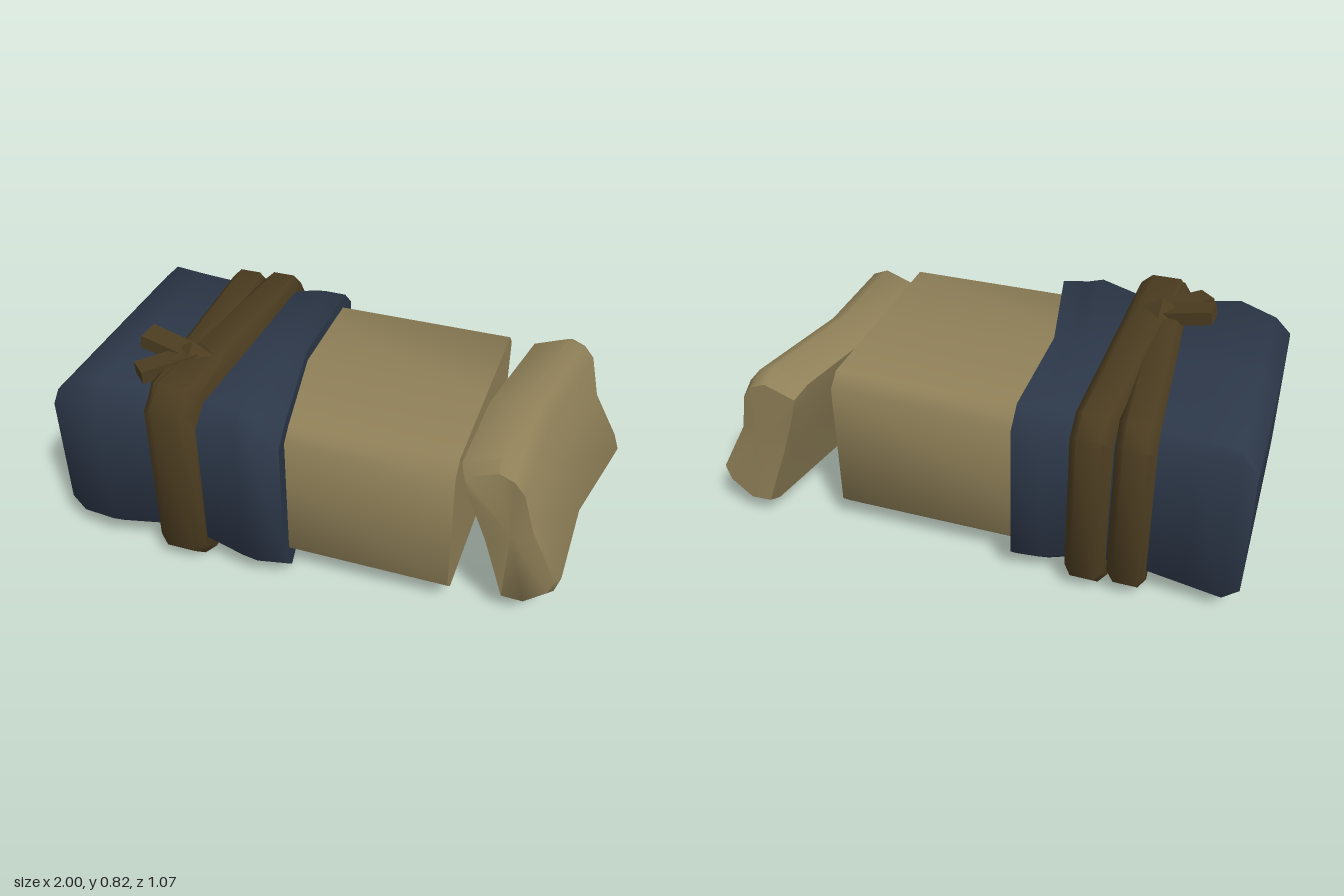
import * as THREE from 'three';
import { toCreasedNormals } from 'three/addons/utils/BufferGeometryUtils.js';

const material = (name, color) => {
  const m = new THREE.MeshStandardMaterial({ color });
  m.name = name;
  return m;
};

// Skin a list of rings (counter-clockwise around the direction of travel) and cap both ends
function loft(rings) {
  const n = rings[0].length;
  const pos = rings.flat(2);
  const idx = [];
  for (let i = 0; i < rings.length - 1; i++) {
    for (let j = 0; j < n; j++) {
      const k = (j + 1) % n;
      const a = i * n + j, b = i * n + k, c = b + n, d = a + n;
      idx.push(a, b, c, a, c, d);
    }
  }
  [0, rings.length - 1].forEach((r) => {
    const centre = pos.length / 3;
    for (let k = 0; k < 3; k++) pos.push(rings[r].reduce((s, p) => s + p[k], 0) / n);
    for (let j = 0; j < n; j++) {
      const a = r * n + j, b = r * n + (j + 1) % n;
      if (r) idx.push(centre, a, b); else idx.push(centre, b, a);
    }
  });
  const g = new THREE.BufferGeometry();
  g.setAttribute('position', new THREE.Float32BufferAttribute(pos, 3));
  g.setIndex(idx);
  return toCreasedNormals(g, 0.95);
}

// Chamfered rectangle in the z-y plane; xAt(z) gives the x of each corner
function section(xAt, y0, yBack, yFront, zb, zf, cb, cf) {
  return [
    [zf - cf, y0], [0, y0], [zb + cb, y0], [zb, y0 + cb],
    [zb, yBack - cb], [zb + cb, yBack], [0, (yBack + yFront) / 2], [zf - cf, yFront],
    [zf, yFront - cf], [zf, y0 + cf],
  ].map(([z, y]) => [xAt(z), y, z]);
}

export function createModel() {
  const group = new THREE.Group();
  const crust = material('crust', 0x8f8058);
  const clothBlue = material('clothBlue', 0x2c3748);
  const strapBrown = material('strapBrown', 0x4b3c20);

  const add = (name, geometry, mat) => {
    const mesh = new THREE.Mesh(geometry, mat);
    mesh.name = name;
    group.add(mesh);
    return mesh;
  };

  // Loaf: straight chamfered block
  add('loaf', loft([-0.5, 0.52].map((x) =>
    section(() => x, 0.07, 0.675, 0.675, -0.455, 0.44, 0.05, 0.05))), crust);

  // Leaning end slice: bent profile carried along z, its back end drifting outward
  const profile = [
    [0.71, 0.055], [0.80, 0.052], [0.89, 0.13], [0.91, 0.2], [0.80, 0.42],
    [0.755, 0.6], [0.71, 0.655], [0.65, 0.68], [0.52, 0.63], [0.535, 0.56], [0.62, 0.32],
  ];
  const sliceRings = [[-0.525, 0.88], [-0.46, 1], [-0.03, 0.98], [0.35, 1], [0.392, 0.9]].map(([z, s]) =>
    profile.map(([x, y]) => {
      const drift = 0.09 * THREE.MathUtils.clamp(-z / 0.46, 0, 1);
      const waist = y > 0.3 && y < 0.45 ? 0.96 : 1;
      return [0.71 + (x - 0.71) * s + drift, 0.365 + (y - 0.365) * s, z * waist];
    }));
  add('slice', loft(sliceRings), crust);

  // Cloth wrap: x, bottom, back top, front top, back z, front z, back chamfer, front chamfer, lean
  const cloth = [
    [-1.00, 0.11, 0.64, 0.64, -0.475, 0.47, 0.01, 0.04, 0],
    [-0.94, 0.05, 0.70, 0.70, -0.475, 0.49, 0.02, 0.06, 0],
    [-0.80, 0.055, 0.70, 0.74, -0.475, 0.515, 0.04, 0.07, 0],
    [-0.60, 0.07, 0.70, 0.72, -0.475, 0.485, 0.06, 0.07, 0],
    [-0.40, 0.055, 0.70, 0.71, -0.485, 0.495, 0.07, 0.07, 0],
    [-0.25, 0.035, 0.715, 0.738, -0.505, 0.52, 0.07, 0.07, 0.05],
    [-0.19, 0.035, 0.715, 0.715, -0.512, 0.53, 0.07, 0.07, 0.07],
    [-0.09, 0.03, 0.712, 0.712, -0.515, 0.505, 0.07, 0.07, 0.087],
  ];
  add('clothWrap', loft(cloth.map(([x, y0, yb, yf, zb, zf, cb, cf, lean]) => section(
    (z) => x - lean * THREE.MathUtils.clamp((0.43 - z) / 0.43, 0, 1), y0, yb, yf, zb, zf, cb, cf))), clothBlue);

  // Two straps round the bundle, spread at the back and meeting at the front
  const strap = (name, backX, frontX, backW, frontW, drop) => {
    const rings = [[-1, 0.025], [-0.6, 0], [0.6, 0], [1, 0.025]].map(([t, inset]) => {
      const d = drop + inset;
      const xAt = (z) => {
        const f = (z + 0.53) / 1.06;
        return THREE.MathUtils.lerp(backX, frontX, f) + t * THREE.MathUtils.lerp(backW, frontW, f) / 2;
      };
      return section(xAt, d, 0.748 - d, 0.788 - d, -0.535 + d, 0.533 - d, 0.07, 0.075);
    });
    add(name, loft(rings), strapBrown);
  };
  strap('rightStrap', -0.605, -0.53, 0.14, 0.13, 0.008);
  strap('leftStrap', -0.45, -0.505, 0.14, 0.19, 0);

  // Knot and its two loose tails
  const knot = add('knot', new THREE.OctahedronGeometry(1, 0), strapBrown);
  knot.scale.set(0.12, 0.07, 0.1);
  knot.position.set(-0.53, 0.752, 0.225);

  const tail = (name, from, to, width, thickness) => {
    const a = new THREE.Vector3(...from), b = new THREE.Vector3(...to);
    const mesh = add(name, new THREE.BoxGeometry(width, thickness, a.distanceTo(b)), strapBrown);
    mesh.position.copy(a).lerp(b, 0.5);
    mesh.lookAt(b);
  };
  tail('sideTail', [-0.53, 0.755, 0.225], [-0.725, 0.8, 0.212], 0.09, 0.05);
  tail('frontTail', [-0.53, 0.765, 0.23], [-0.675, 0.755, 0.385], 0.08, 0.05);

  return group;
}
